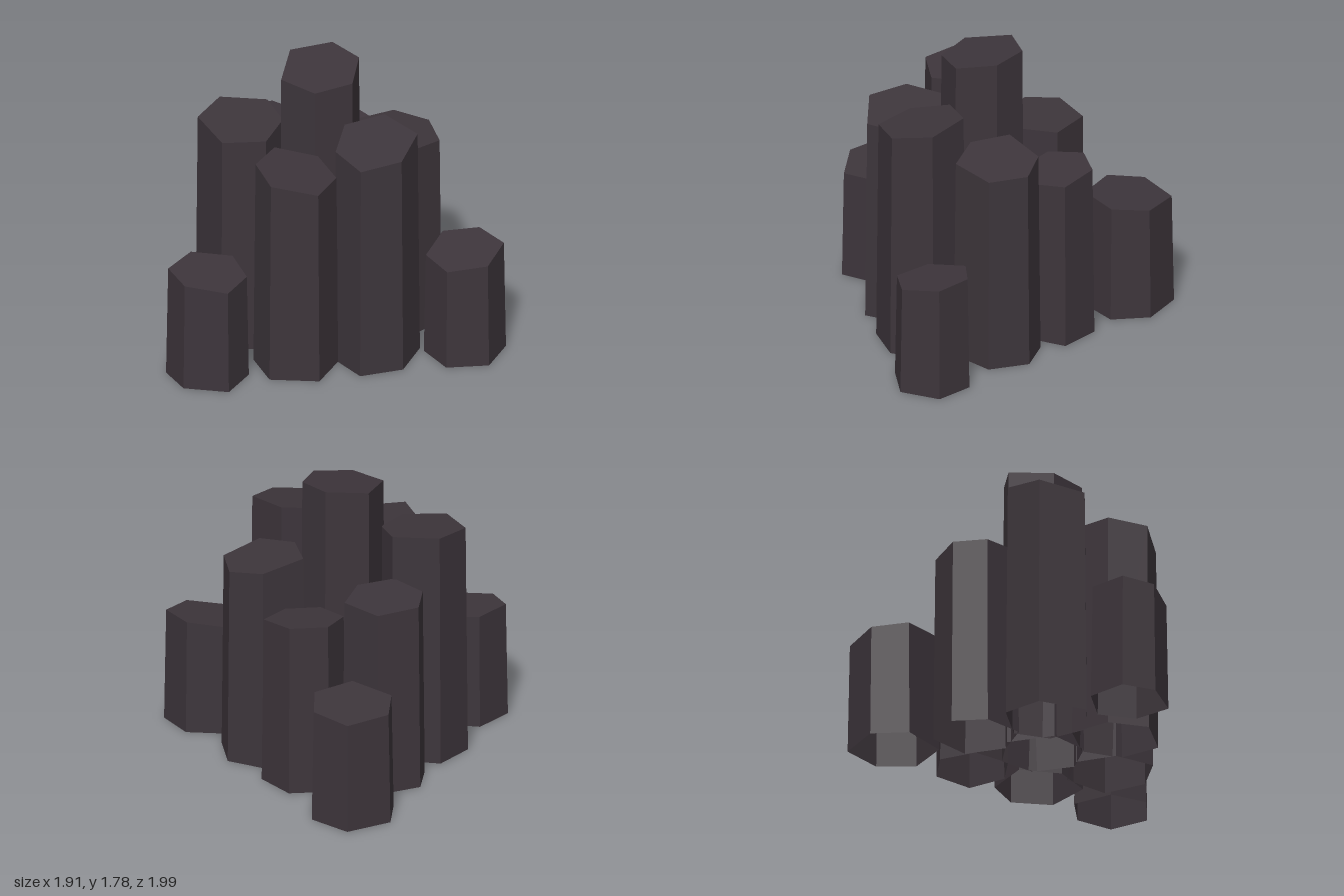
import * as THREE from 'three';

const TAPER = 0.95; // top width relative to the base

// Tapered six-sided shell, open underneath, with a slanted top.
// height is at the axis, tilt is the slope of the top along x and z,
// footprint is the base outline as x, z pairs, clockwise from above.
function stoneColumn(material, height, tilt, footprint) {
  const base = [];
  for (let i = 0; i < footprint.length; i += 2) {
    base.push(new THREE.Vector3(footprint[i], 0, footprint[i + 1]));
  }
  const centre = new THREE.Vector3();
  base.forEach((p) => centre.addScaledVector(p, 1 / base.length));
  base.forEach((p) => p.sub(centre));
  const top = base.map((p) => {
    const t = p.clone().multiplyScalar(TAPER);
    t.y = height + tilt[0] * t.x + tilt[1] * t.z;
    return t;
  });
  const peak = new THREE.Vector3(0, height, 0);

  // Walls and top fan
  const points = [];
  base.forEach((b0, i) => {
    const j = (i + 1) % base.length;
    points.push(b0, top[i], base[j], base[j], top[i], top[j]);
    points.push(peak, top[j], top[i]);
  });
  const geometry = new THREE.BufferGeometry().setFromPoints(points);
  geometry.computeVertexNormals();

  const mesh = new THREE.Mesh(geometry, material);
  mesh.position.copy(centre);
  return mesh;
}

export function createModel() {
  const basalt = new THREE.MeshStandardMaterial({ color: 0x3d353b, side: THREE.DoubleSide, flatShading: true });
  basalt.name = 'basalt';

  const group = new THREE.Group();
  group.name = 'basaltColumns';
  const add = (name, height, tilt, footprint) => {
    const mesh = stoneColumn(basalt, height, tilt, footprint);
    mesh.name = name;
    group.add(mesh);
  };

  // Tall column in the middle
  add('centreColumn', 1.74, [0.11, -0.11],
    [0.04, -0.17, 0.3, -0.1, 0.37, 0.12, 0.215, 0.325, -0.03, 0.29, -0.145, 0.06]);

  // Ring packed around it
  add('backColumn', 1.17, [-0.03, 0.02],
    [-0.12, -0.58, 0.155, -0.59, 0.28, -0.34, 0.12, -0.145, -0.12, -0.155, -0.22, -0.39]);
  add('backLeftColumn', 1.045, [0.03, -0.13],
    [0.405, -0.45, 0.635, -0.385, 0.715, -0.145, 0.52, 0, 0.305, -0.06, 0.24, -0.29]);
  add('backRightColumn', 1.435, [0.02, -0.115],
    [-0.345, -0.325, -0.09, -0.175, -0.1, 0.05, -0.3, 0.205, -0.555, 0.105, -0.565, -0.2]);
  add('frontLeftColumn', 1.262, [-0.14, -0.05],
    [0.37, 0.035, 0.655, -0.01, 0.815, 0.155, 0.76, 0.4, 0.49, 0.485, 0.33, 0.29]);
  add('frontRightColumn', 1.295, [-0.135, -0.12],
    [-0.225, 0.14, 0, 0.29, 0, 0.535, -0.21, 0.69, -0.46, 0.535, -0.435, 0.285]);
  add('frontColumn', 1.44, [0.14, -0.145],
    [0.15, 0.31, 0.405, 0.355, 0.495, 0.625, 0.29, 0.8, 0.03, 0.75, -0.015, 0.5]);

  // Short outlying columns
  add('outerBackColumn', 0.71, [-0.04, 0.09],
    [0.215, -0.965, 0.5, -0.998, 0.635, -0.765, 0.545, -0.545, 0.28, -0.505, 0.115, -0.755]);
  add('outerRightColumn', 0.69, [-0.05, -0.1],
    [-0.74, 0.06, -0.515, 0.19, -0.54, 0.425, -0.74, 0.55, -0.955, 0.385, -0.96, 0.175]);
  add('outerFrontColumn', 0.68, [0.14, -0.06],
    [0.7, 0.51, 0.905, 0.61, 0.955, 0.84, 0.76, 0.995, 0.525, 0.9, 0.5, 0.665]);
  return group;
}
